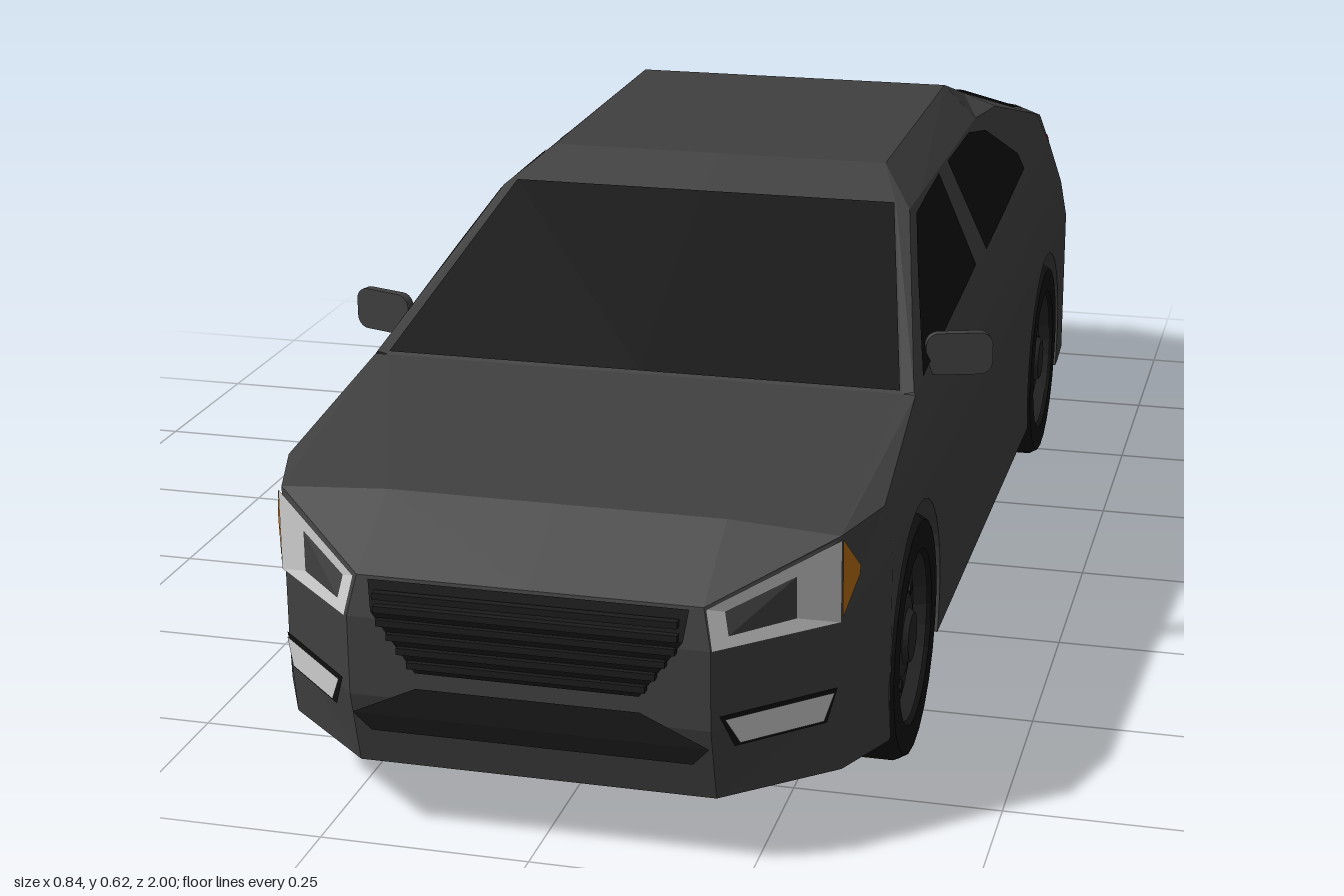
import * as THREE from 'three';

const mat = (color) => new THREE.MeshStandardMaterial({ color, flatShading: true, side: THREE.DoubleSide });
const paint = mat(0x404040), glass = mat(0x0f0f0f), rubber = mat(0x121212), trim = mat(0x1c1c1c);
const rimGrey = mat(0x262626), lamp = mat(0xcccccc), red = mat(0xcc0808), amber = mat(0xb86c10);

// Faceted skin over rows of [x, y, z] points, mirrored in x
function loft(name, rows, material) {
  const pos = [];
  for (const s of [1, -1]) {
    for (let i = 0; i < rows.length - 1; i++) {
      for (let j = 0; j < rows[i].length - 1; j++) {
        const a = rows[i][j], b = rows[i + 1][j], c = rows[i + 1][j + 1], d = rows[i][j + 1];
        const order = s > 0 ? [a, b, c, a, c, d] : [a, c, b, a, d, c];
        for (const p of order) pos.push(p[0] * s, p[1], p[2]);
      }
    }
  }
  const geo = new THREE.BufferGeometry();
  geo.setAttribute('position', new THREE.Float32BufferAttribute(pos, 3));
  geo.computeVertexNormals();
  return mesh(name, geo, material);
}

function mesh(name, geo, material, x = 0, y = 0, z = 0) {
  const m = new THREE.Mesh(geo, material);
  m.name = name;
  m.position.set(x, y, z);
  return m;
}

const box = (name, w, h, d, x, y, z, m) => mesh(name, new THREE.BoxGeometry(w, h, d), m, x, y, z);
const lerp = THREE.MathUtils.lerp;
const AXLES = [0.615, -0.5];

// Lower side panel with the two wheel arches cut out
function sidePanel(s) {
  const shape = new THREE.Shape();
  const r = 0.168, cy = 0.15, dz = Math.sqrt(r * r - 0.06 * 0.06), a = Math.asin(0.06 / r);
  shape.moveTo(-0.73, 0.1);
  shape.lineTo(-0.68, 0.09);
  for (const z of [AXLES[1], AXLES[0]]) {
    shape.lineTo(z - dz, 0.09);
    shape.absarc(z, cy, r, Math.PI + a, -a, true);
  }
  shape.lineTo(0.78, 0.09);
  shape.lineTo(0.78, 0.325);
  shape.lineTo(-0.73, 0.325);
  const geo = new THREE.ExtrudeGeometry(shape, { depth: 0.13, bevelEnabled: false, curveSegments: 14 });
  geo.rotateY(-Math.PI / 2); // shape x runs along z, depth runs along -x
  return mesh('sidePanel', geo, paint, s > 0 ? 0.37 : -0.24);
}

// Wheel with tyre, recessed rim and a ring of holes
function wheel(s, z) {
  const g = new THREE.Group();
  g.name = 'wheel';
  const lathe = (pts) => new THREE.LatheGeometry(pts.map((p) => new THREE.Vector2(...p)), 24).rotateZ(-Math.PI / 2);
  g.add(mesh('tyre', lathe([[0, -0.057], [0.14, -0.057], [0.15, -0.045], [0.15, 0.045], [0.143, 0.057], [0.108, 0.057], [0.1, 0.04]]), rubber));
  g.add(mesh('rim', lathe([[0.103, 0.052], [0.095, 0.036], [0.06, 0.036], [0.05, 0.044], [0.035, 0.046], [0.03, 0.053], [0, 0.053]]), rimGrey));
  for (let i = 0; i < 14; i++) {
    const t = (i / 14) * Math.PI * 2;
    const hole = new THREE.CylinderGeometry(0.009, 0.009, 0.004, 8).rotateZ(Math.PI / 2);
    g.add(mesh('rimHole', hole, rubber, 0.036, 0.077 * Math.sin(t), 0.077 * Math.cos(t)));
  }
  g.position.set(s * 0.313, 0.15, z);
  if (s < 0) g.rotation.y = Math.PI;
  return g;
}

// Door mirror: rounded plate on a short stalk
function mirror(s) {
  const g = new THREE.Group();
  g.name = 'doorMirror';
  const w = 0.042, h = 0.027, r = 0.016, sh = new THREE.Shape();
  sh.absarc(w - r, h - r, r, 0, Math.PI / 2);
  sh.absarc(-w + r, h - r, r, Math.PI / 2, Math.PI);
  sh.absarc(-w + r, -h + r, r, Math.PI, Math.PI * 1.5);
  sh.absarc(w - r, -h + r, r, Math.PI * 1.5, Math.PI * 2);
  const geo = new THREE.ExtrudeGeometry(sh, { depth: 0.012, bevelEnabled: false, curveSegments: 4 });
  g.add(mesh('mirrorHousing', geo, paint, 0, 0, -0.006));
  g.add(box('mirrorStalk', 0.03, 0.02, 0.012, -s * 0.045, -0.008, 0, paint));
  g.position.set(s * 0.379, 0.443, 0.397);
  g.rotation.y = s * 0.32;
  return g;
}

export function createModel() {
  const car = new THREE.Group();
  car.name = 'car';

  // Nose, from the bottom edge up to the hood edge
  const nose = [
    [[0, 0.087, 0.965], [0.21, 0.087, 0.965], [0.33, 0.087, 0.86], [0.37, 0.09, 0.78]],
    [[0, 0.18, 0.99], [0.21, 0.18, 0.99], [0.33, 0.18, 0.875], [0.37, 0.18, 0.78]],
    [[0, 0.275, 0.99], [0.21, 0.275, 0.99], [0.33, 0.275, 0.875], [0.37, 0.325, 0.78]],
    [[0, 0.322, 0.98], [0.2, 0.322, 0.98], [0.33, 0.375, 0.875], [0.36, 0.38, 0.78]],
  ];
  car.add(loft('nose', nose, paint));
  car.add(loft('hood', [
    nose[3],
    [[0, 0.385, 0.875], [0.2, 0.385, 0.875], [0.33, 0.377, 0.875], [0.36, 0.38, 0.78]],
    [[0, 0.425, 0.52], [0.2, 0.425, 0.52], [0.33, 0.425, 0.52], [0.347, 0.425, 0.52]],
  ], paint));

  // Tail, from the bottom edge up to the trunk edge
  const tail = [
    [[0, 0.15, -0.985], [0.14, 0.15, -0.985], [0.28, 0.14, -0.93], [0.335, 0.12, -0.83], [0.37, 0.1, -0.73]],
    [[0, 0.27, -0.985], [0.14, 0.27, -0.985], [0.285, 0.27, -0.935], [0.335, 0.27, -0.83], [0.37, 0.27, -0.73]],
    [[0, 0.285, -0.955], [0.14, 0.285, -0.955], [0.28, 0.285, -0.925], [0.335, 0.285, -0.83], [0.37, 0.325, -0.73]],
    [[0, 0.36, -0.95], [0.14, 0.36, -0.95], [0.28, 0.36, -0.92], [0.332, 0.36, -0.83], [0.36, 0.38, -0.73]],
    [[0, 0.473, -0.92], [0.14, 0.473, -0.92], [0.26, 0.468, -0.885], [0.31, 0.468, -0.82], [0.34, 0.44, -0.73]],
  ];
  car.add(loft('tail', tail, paint));
  car.add(loft('trunkLid', [
    [[0, 0.495, -0.73], [0.14, 0.495, -0.73], [0.295, 0.495, -0.73], [0.316, 0.49, -0.73], [0.34, 0.44, -0.73]],
    tail[4],
  ], paint));

  // Shoulder between the lower panels and the window line
  car.add(loft('shoulder', [
    [[0.37, 0.325, 0.78], [0.36, 0.38, 0.78], [0.36, 0.38, 0.78]],
    [[0.37, 0.325, 0.52], [0.362, 0.385, 0.52], [0.347, 0.425, 0.52]],
    [[0.37, 0.325, 0.2], [0.362, 0.385, 0.2], [0.34, 0.44, 0.2]],
    [[0.37, 0.325, -0.73], [0.36, 0.38, -0.73], [0.34, 0.44, -0.73]],
  ], paint));

  // Cabin: side plane, roof rail and roof
  const cabin = [
    [0.52, 0.347, 0.425, 0.345, 0.428, 0.33, 0.425],
    [0.2, 0.34, 0.44, 0.278, 0.57, 0.26, 0.575],
    [0.12, 0.34, 0.44, 0.278, 0.57, 0.23, 0.61],
    [-0.34, 0.34, 0.44, 0.278, 0.57, 0.23, 0.617],
    [-0.49, 0.34, 0.44, 0.285, 0.555, 0.235, 0.573],
    [-0.73, 0.34, 0.44, 0.316, 0.49, 0.295, 0.495],
  ].map(([z, ax, ay, bx, by, cx, cy]) => [[ax, ay, z], [bx, by, z], [cx, cy, z], [0, cy, z]]);
  car.add(loft('cabin', cabin, paint));

  // Glass
  car.add(loft('windshield', [[[0, 0.43, 0.522], [0.328, 0.43, 0.522]], [[0, 0.579, 0.203], [0.258, 0.579, 0.203]]], glass));
  car.add(loft('rearWindow', [[[0, 0.577, -0.492], [0.233, 0.577, -0.492]], [[0, 0.499, -0.732], [0.291, 0.499, -0.732]]], glass));
  const onSide = ([z, y]) => [0.344 - (y - 0.44) * 0.477, y, z];
  car.add(loft('frontSideWindow', [
    [[0.47, 0.434], [0.3, 0.515], [0.19, 0.563], [0.1, 0.567], [0, 0.57]].map(onSide),
    [[0.47, 0.433], [0.36, 0.437], [0.25, 0.441], [0.12, 0.445], [0.02, 0.449]].map(onSide),
  ], glass));
  car.add(loft('rearSideWindow', [
    [[-0.07, 0.57], [-0.25, 0.569], [-0.35, 0.55], [-0.48, 0.485]].map(onSide),
    [[-0.065, 0.447], [-0.25, 0.453], [-0.35, 0.457], [-0.48, 0.462]].map(onSide),
  ], glass));

  // Underbody
  car.add(box('underbody', 0.482, 0.235, 1.46, 0, 0.2075, 0.05, paint));
  car.add(loft('noseFloor', [nose[0], [0, 0.21, 0.33, 0.37].map((x) => [x, 0.09, 0.78])], paint));
  car.add(loft('tailFloor', [[0, 0.14, 0.28, 0.335, 0.37].map((x) => [x, 0.09, -0.68]), tail[0]], paint));

  // Headlights, indicators and fog lamps on the slanted nose corners
  const corner = (off) => ([x, y]) => [x + off, y, 0.99 - 0.958 * (x - 0.21) + off];
  car.add(loft('headlights', [
    [[0.203, 0.321, 0.983], [0.332, 0.374, 0.88]],
    [[0.212, 0.276, 0.993], [0.332, 0.276, 0.88]],
  ], lamp));
  car.add(loft('indicators', [
    [[0.333, 0.374, 0.878], [0.347, 0.335, 0.85]],
    [[0.333, 0.28, 0.878], [0.347, 0.325, 0.85]],
  ], amber));
  const fog = (e, off) => [
    [[0.22 - e, 0.194 + e], [0.322 + e, 0.194 + e]].map(corner(off)),
    [[0.234 - e, 0.162 - e], [0.312 + e, 0.162 - e]].map(corner(off)),
  ];
  car.add(loft('fogLampFrames', fog(0.004, 0.003), glass));
  car.add(loft('fogLamps', fog(0, 0.005), lamp));

  // Grille with slats, and lower intake
  car.add(loft('grille', [
    [[0, 0.32, 0.985], [0.185, 0.32, 0.985]],
    [[0, 0.285, 0.994], [0.18, 0.285, 0.994]],
    [[0, 0.215, 0.994], [0.13, 0.215, 0.994]],
  ], glass));
  for (let i = 0; i < 6; i++) {
    const y = 0.226 + i * 0.016;
    car.add(box('grilleSlat', 2 * Math.min(0.175, lerp(0.13, 0.18, (y - 0.215) / 0.07)), 0.008, 0.01, 0, y, 0.995, trim));
  }
  car.add(loft('lowerIntake', [
    [[0, 0.196, 0.994], [0.13, 0.196, 0.994]],
    [[0, 0.158, 0.99], [0.208, 0.158, 0.99]],
    [[0, 0.135, 0.984], [0.188, 0.135, 0.984]],
  ], trim));

  // Tail lamps wrapping round the rear corners
  const onTail = (u, y, off) => {
    const i = Math.min(Math.floor(u), 3), f = u - i, t = (y - 0.36) / 0.11;
    const at = (row, k) => lerp(row[i][k], row[i + 1][k], f);
    return [lerp(at(tail[3], 0), at(tail[4], 0), t) + off, y, lerp(at(tail[3], 2), at(tail[4], 2), t) - off];
  };
  const lampRows = (lo, hi, us, off) => [hi, lo].map((y) => us.map((u) => onTail(u, y, off)));
  car.add(loft('tailLampFrames', lampRows(0.365, 0.435, [1.15, 2, 3, 3.15], 0.004), red));
  car.add(loft('tailLamps', lampRows(0.382, 0.42, [1.3, 2, 2.9], 0.007), lamp));
  car.add(box('trunkStrip', 0.32, 0.008, 0.01, 0, 0.41, -0.938, lamp));
  car.add(box('plateRecess', 0.13, 0.07, 0.006, 0, 0.21, -0.985, glass));

  // Parts repeated on each side
  for (const s of [1, -1]) {
    car.add(sidePanel(s), mirror(s));
    for (const z of AXLES) car.add(wheel(s, z));
    const pipe = new THREE.CylinderGeometry(0.018, 0.018, 0.12, 12).rotateX(Math.PI / 2);
    car.add(mesh('exhaustPipe', pipe, rubber, s * 0.238, 0.157, -0.94));
  }
  return car;
}
